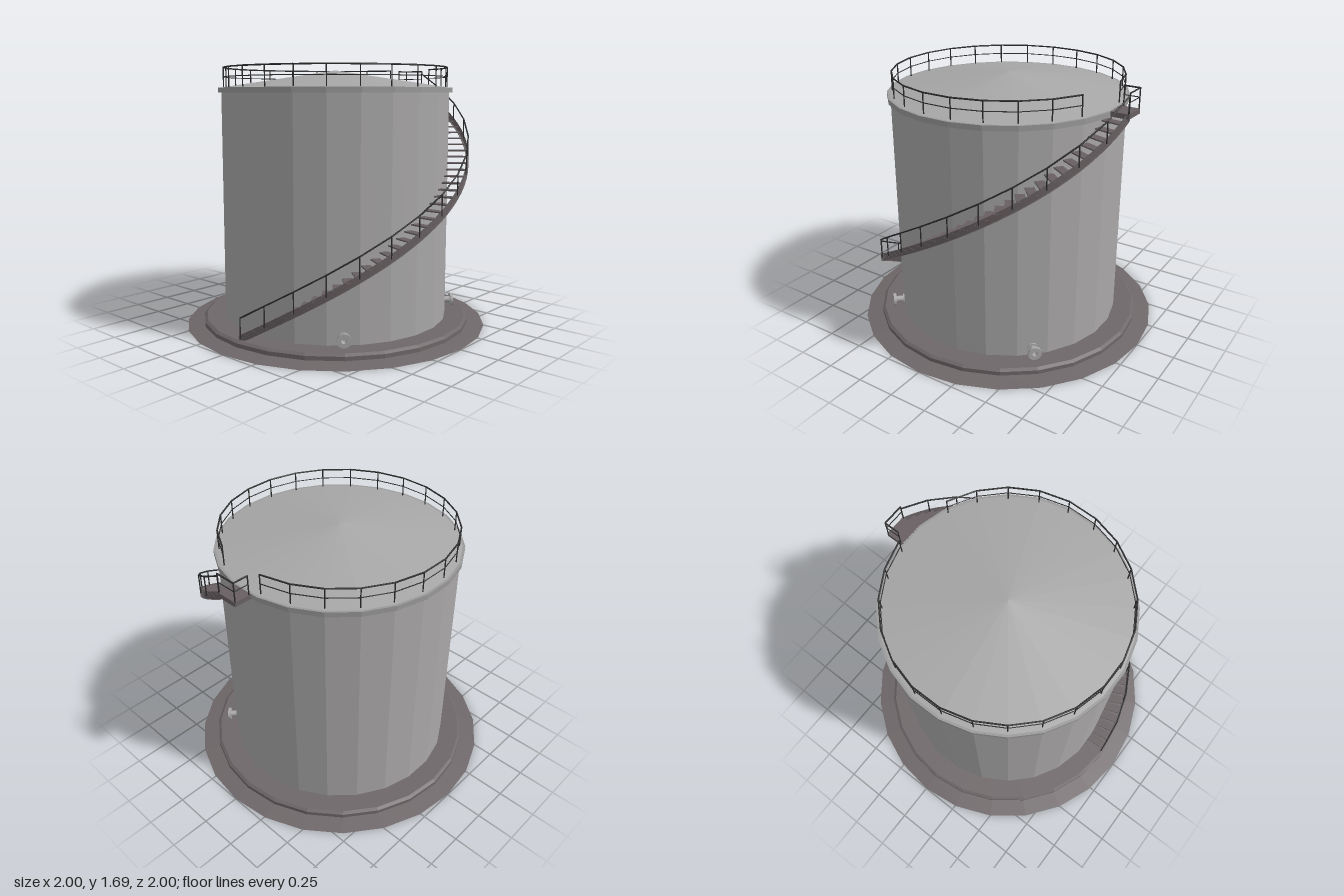
import * as THREE from 'three';
import { mergeGeometries } from 'three/addons/utils/BufferGeometryUtils.js';

const DEG = Math.PI / 180;
const steel = new THREE.MeshStandardMaterial({ color: 0xa9a7a7 });
const roofGrey = new THREE.MeshStandardMaterial({ color: 0xa6a7a6 });
const rimGrey = new THREE.MeshStandardMaterial({ color: 0x999a99 });
const concrete = new THREE.MeshStandardMaterial({ color: 0x6e6769 });
const stairBrown = new THREE.MeshStandardMaterial({ color: 0x675f61 });
const railBlack = new THREE.MeshStandardMaterial({ color: 0x2e2e2e });

// Point on a circle: angle in degrees from +x towards +z
const polar = (deg, r, y) => new THREE.Vector3(r * Math.cos(deg * DEG), y, r * Math.sin(deg * DEG));
// Height of the spiral stair at a given angle
const stairY = (deg) => 0.82 + (90 - deg) * 0.00845;

function flat(geo) {
  const g = geo.index ? geo.toNonIndexed() : geo;
  g.computeVertexNormals();
  return g;
}

function lathe(points, sides, offset = 0) {
  return flat(new THREE.LatheGeometry(points.map(([r, y]) => new THREE.Vector2(r, y)), sides, offset));
}

function bar(a, b, r) {
  const dir = b.clone().sub(a);
  const g = new THREE.CylinderGeometry(r, r, dir.length(), 6);
  g.applyQuaternion(new THREE.Quaternion().setFromUnitVectors(new THREE.Vector3(0, 1, 0), dir.normalize()));
  const m = a.clone().add(b).multiplyScalar(0.5);
  return g.translate(m.x, m.y, m.z);
}

// Bars joining consecutive points
const chain = (pts, r) => pts.slice(1).map((p, i) => bar(pts[i], p, r));

// Rectangular section swept along the stair helix
function helixBand(a0, a1, n, r0, r1, h0, h1) {
  const pos = [], idx = [];
  for (let i = 0; i <= n; i++) {
    const a = a0 + ((a1 - a0) * i) / n;
    for (const [r, h] of [[r0, h0], [r1, h0], [r1, h1], [r0, h1]]) {
      pos.push(...polar(a, r, Math.max(0.05, stairY(a) + h)).toArray());
    }
  }
  for (let i = 0; i < n; i++) {
    for (let k = 0; k < 4; k++) {
      const a = i * 4 + k, b = i * 4 + ((k + 1) % 4);
      idx.push(a, b, b + 4, a, b + 4, a + 4);
    }
  }
  const e = n * 4;
  idx.push(0, 2, 1, 0, 3, 2, e, e + 1, e + 2, e, e + 2, e + 3);
  const g = new THREE.BufferGeometry();
  g.setAttribute('position', new THREE.Float32BufferAttribute(pos, 3));
  // Sweeping with falling angle reverses the winding
  if (a1 > a0) for (let i = 0; i < idx.length; i += 3) [idx[i + 1], idx[i + 2]] = [idx[i + 2], idx[i + 1]];
  g.setIndex(idx);
  return flat(g);
}

export function createModel() {
  const model = new THREE.Group();
  model.name = 'storageTank';
  const add = (name, geo, mat, parent = model) => {
    const m = new THREE.Mesh(Array.isArray(geo) ? mergeGeometries(geo) : geo, mat);
    m.name = name;
    parent.add(m);
    return m;
  };

  // Sloped apron and bevelled foundation ring
  add('apron', lathe([[0, 0], [1, 0], [0.88, 0.018]], 24), concrete);
  add('foundationRing', lathe([[0.89, 0.012], [0.89, 0.042], [0.872, 0.055], [0, 0.055]], 24), concrete);

  // Shell, rim and shallow cone roof, turned half a facet
  const half = 7.5 * DEG;
  add('shell', lathe([[0.745, 0.05], [0.745, 1.53]], 24, half), steel);
  add('rim', lathe([[0.74, 1.525], [0.765, 1.525], [0.765, 1.557], [0.74, 1.557]], 24, half), rimGrey);
  add('roof', lathe([[0.75, 1.557], [0, 1.67]], 24, half), roofGrey);

  // Roof guard rail with a gap at the stair landing
  const guard = [];
  const ring = (y) => Array.from({ length: 23 }, (_, i) => polar(22.5 + i * 15, 0.73, y));
  guard.push(...chain(ring(1.685), 0.005), ...chain(ring(1.625), 0.003));
  ring(1.55).forEach((p) => guard.push(bar(p, p.clone().setY(1.688), 0.004)));
  add('roofGuardRail', guard, railBlack);

  // Spiral stair: outer stringer, treads and handrail
  const stair = new THREE.Group();
  stair.name = 'spiralStair';
  model.add(stair);
  add('stringer', helixBand(180, 5, 42, 0.862, 0.876, -0.025, 0.025), stairBrown, stair);

  const treads = [];
  for (let i = 0; i < 40; i++) {
    const a = 176.5 - i * 4.3;
    const p = polar(a, 0.803, stairY(a) + 0.004);
    treads.push(new THREE.BoxGeometry(0.122, 0.008, 0.056).rotateY(-a * DEG).translate(p.x, p.y, p.z));
  }
  add('treads', treads, stairBrown, stair);

  const rail = [], top = [];
  for (let k = -7; k <= 7; k++) {
    const a = 92.4 + 12.4 * k;
    const foot = polar(a, 0.872, stairY(a));
    const head = polar(a, 0.872, Math.min(1.682, stairY(a) + 0.13));
    top.push(head);
    rail.push(bar(foot, head, 0.004));
  }
  rail.push(...chain(top, 0.005));
  add('stairHandrail', rail, railBlack, stair);

  // Landing with its guard rail
  add('landing', new THREE.BoxGeometry(0.125, 0.03, 0.147).translate(0.8125, 1.542, 0.018), stairBrown, stair);
  const corners = [[0.772, -0.052], [0.87, -0.052], [0.87, 0.085]];
  const at = (y) => corners.map(([x, z]) => new THREE.Vector3(x, y, z));
  const landingRail = [...chain(at(1.68), 0.005), ...chain(at(1.625), 0.003)];
  at(1.545).forEach((p) => landingRail.push(bar(p, p.clone().setY(1.683), 0.004)));
  add('landingRail', landingRail, railBlack, stair);

  // Two flanged nozzles near the foot of the shell
  const nozzleGeo = lathe([
    [0.032, 0], [0.032, 0.012], [0.02, 0.012], [0.02, 0.058], [0.043, 0.058],
    [0.043, 0.076], [0.016, 0.076], [0.016, 0.02], [0, 0.02],
  ], 16).rotateX(Math.PI / 2);
  for (const side of [-1, 1]) {
    const n = add(side > 0 ? 'leftNozzle' : 'rightNozzle', nozzleGeo, steel);
    n.position.set(side * 0.52, 0.105, 0.52);
    n.rotation.y = side * Math.PI / 4;
  }
  return model;
}
